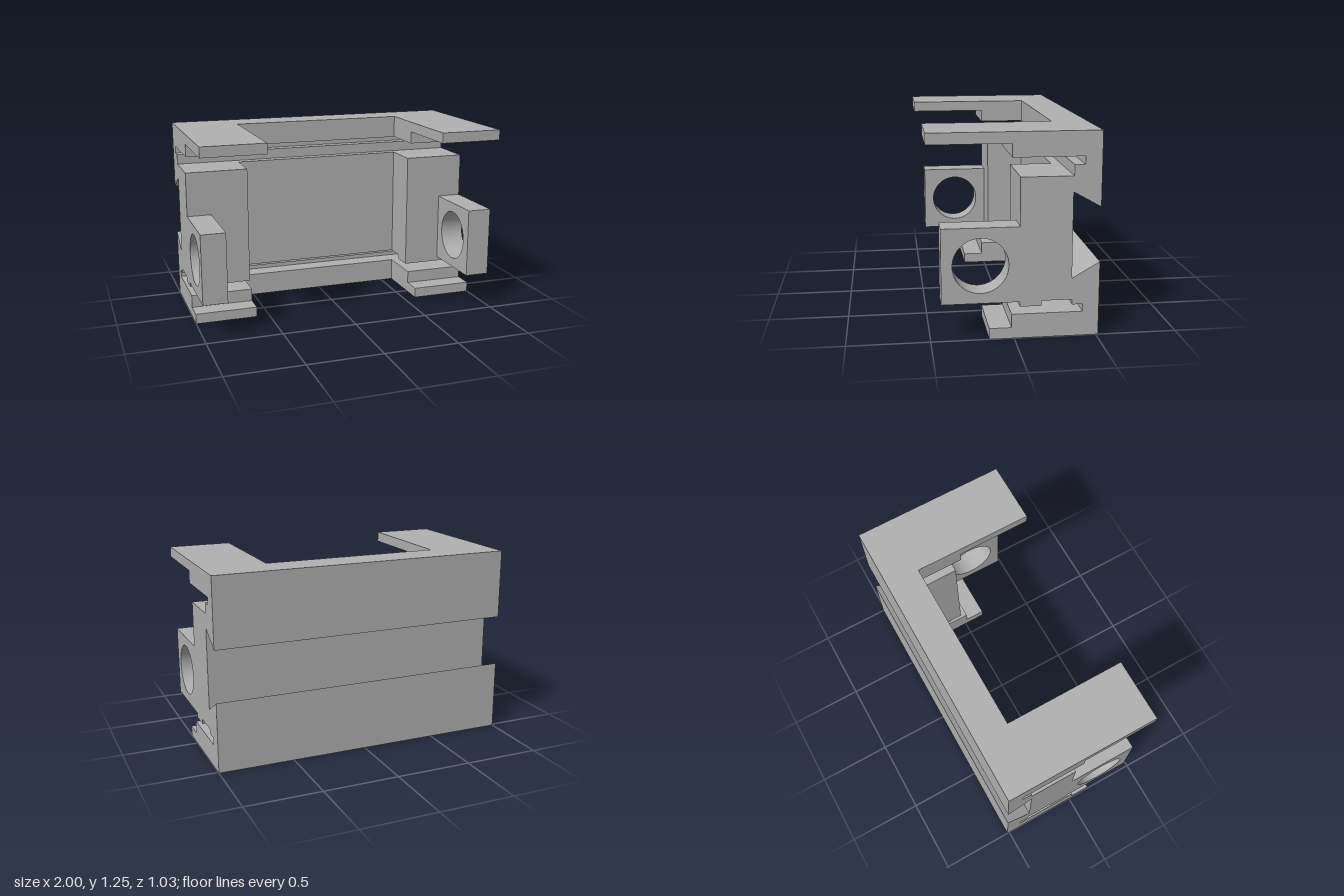
import * as THREE from 'three';
import { toCreasedNormals } from 'three/addons/utils/BufferGeometryUtils.js';

// Side profiles are given as [z, y] points and extruded along x.
const POCKET_Z = -0.29;   // floor of the front pocket
const POCKET_X = 0.585;   // half width of the pocket

// Back of the housing with its dovetail groove, from top to bottom
const back = [
  [-0.515, 1.25], [-0.515, 0.795], [-0.347, 0.89],
  [-0.347, 0.362], [-0.515, 0.46], [-0.515, 0],
];
// Undercut slots below and above the body
const lowerSlot = [[-0.415, 0.152], [-0.415, 0.198], [-0.35, 0.198], [-0.35, 0.23]];
const upperSlot = [[-0.35, 0.985], [-0.35, 1.052], [-0.415, 1.052], [-0.415, 1.1]];

const spineProfile = [
  ...back,
  [POCKET_Z, 0], [POCKET_Z, 0.152], ...lowerSlot,
  [POCKET_Z, 0.23], [POCKET_Z, 0.985], ...upperSlot,
  [POCKET_Z, 1.1], [POCKET_Z, 1.25],
];

const endProfile = [
  ...back,
  // stepped foot
  [0.15, 0], [0.15, 0.068], [0.015, 0.068], [0.015, 0.152],
  ...lowerSlot,
  // body front
  [-0.165, 0.23], [-0.165, 0.198], [-0.033, 0.198], [-0.033, 0.985],
  ...upperSlot,
  // overhanging top arm
  [0.015, 1.1], [0.015, 1.182], [0.515, 1.182], [0.515, 1.25],
];

const lugProfile = [[-0.033, 0.228], [0.435, 0.228], [0.435, 0.69], [-0.033, 0.69]];

function toShape(points) {
  return new THREE.Shape(points.map(([z, y]) => new THREE.Vector2(z, y)));
}

// Extrudes a side profile between two x positions
function extrudeAcross(shape, x0, x1) {
  const geometry = new THREE.ExtrudeGeometry(shape, {
    depth: x1 - x0, bevelEnabled: false, curveSegments: 48,
  });
  geometry.rotateY(-Math.PI / 2);
  geometry.translate(x1, 0, 0);
  return toCreasedNormals(geometry, 0.4);
}

export function createModel() {
  const model = new THREE.Group();
  model.name = 'slidingBracket';
  const grey = new THREE.MeshStandardMaterial({ name: 'grey', color: 0xb0b0b0 });

  function add(name, shape, x0, x1) {
    const mesh = new THREE.Mesh(extrudeAcross(shape, x0, x1), grey);
    mesh.name = name;
    model.add(mesh);
  }

  // Thin spine joining the two ends
  add('spine', toShape(spineProfile), -POCKET_X, POCKET_X);

  // Lug with a round bore
  const lug = toShape(lugProfile);
  const bore = new THREE.Path();
  bore.absarc(0.201, 0.459, 0.168, 0, Math.PI * 2, true);
  lug.holes.push(bore);

  for (const [side, sign] of [['left', 1], ['right', -1]]) {
    const span = (inner) => (sign > 0 ? [inner, 1] : [-1, -inner]);
    add(side + 'End', toShape(endProfile), ...span(POCKET_X));
    add(side + 'Lug', lug, ...span(0.838));
  }
  return model;
}
